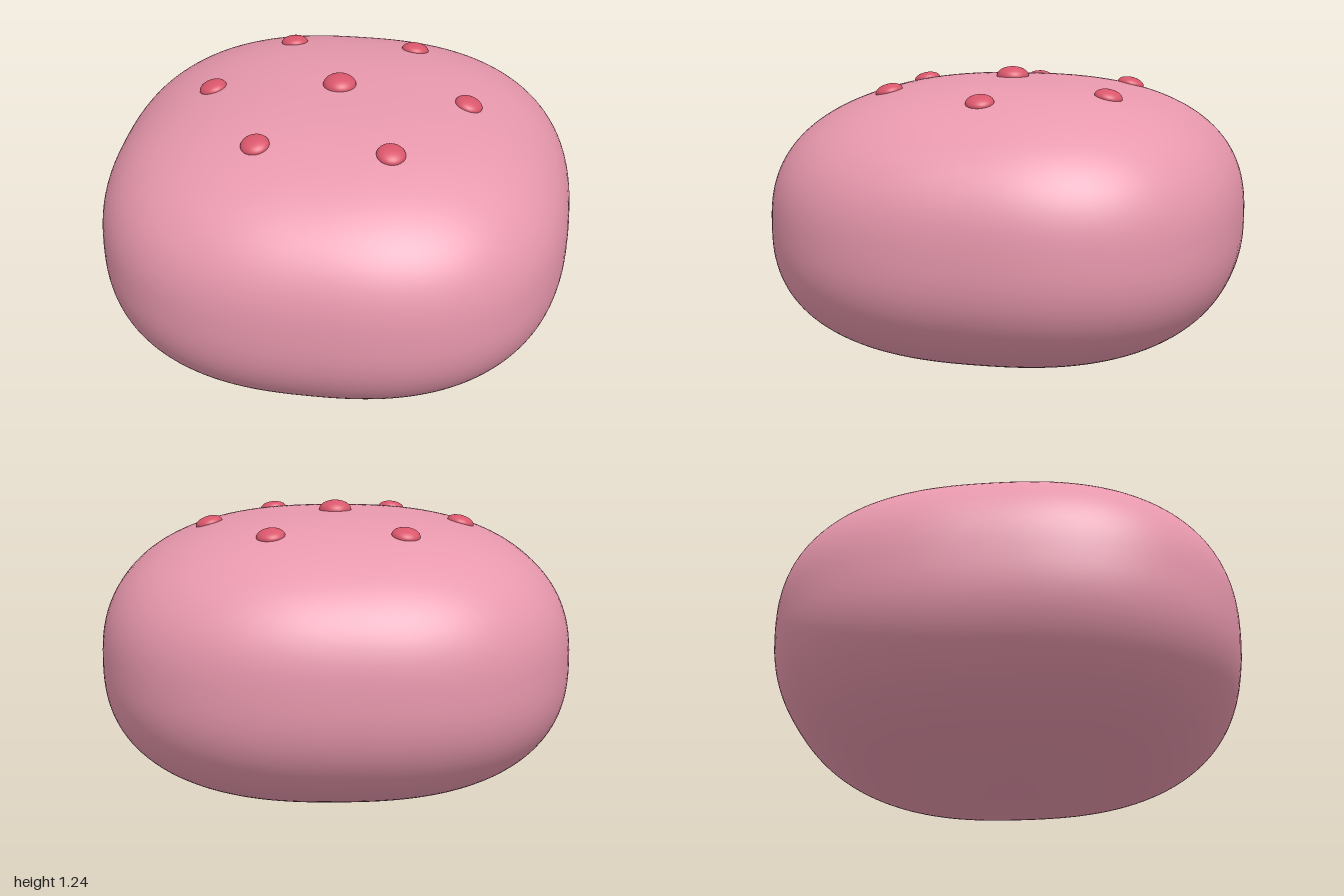
import * as THREE from 'three';

const N = 2.5;            // roundness exponent of the cushion shape
const HALF = 0.6;         // half height
const CENTRE_Y = 0.6;
const spow = (v, e) => Math.sign(v) * Math.abs(v) ** e;

// Outward normal of the cushion at a point measured from its centre
const bodyNormal = (x, y, z) => new THREE.Vector3(
  spow(x, N - 1), spow(y / HALF, N - 1) / HALF, spow(z, N - 1)).normalize();

// Sphere pushed out towards a soft cube, then flattened
function cushionGeometry() {
  const geo = new THREE.SphereGeometry(1, 128, 80);
  const pos = geo.attributes.position;
  const nor = geo.attributes.normal;
  for (let i = 0; i < pos.count; i++) {
    const x = spow(pos.getX(i), 2 / N);
    const y = spow(pos.getY(i), 2 / N) * HALF;
    const z = spow(pos.getZ(i), 2 / N);
    const n = bodyNormal(x, y, z);
    pos.setXYZ(i, x, y, z);
    nor.setXYZ(i, n.x, n.y, n.z);
  }
  return geo;
}

export function createModel() {
  const model = new THREE.Group();
  const bodyMat = new THREE.MeshStandardMaterial({ color: 0xe898ad });
  const dotMat = new THREE.MeshStandardMaterial({ color: 0xd9566b });

  const body = new THREE.Mesh(cushionGeometry(), bodyMat);
  body.name = 'body';
  body.position.y = CENTRE_Y;
  model.add(body);

  // Flattened beads lying on the top surface
  const dotGeo = new THREE.SphereGeometry(1, 32, 20);
  const up = new THREE.Vector3(0, 1, 0);
  function addDot(name, x, z, radius, height) {
    const y = HALF * (1 - Math.abs(x) ** N - Math.abs(z) ** N) ** (1 / N);
    const dot = new THREE.Mesh(dotGeo, dotMat);
    dot.name = name;
    dot.position.set(x, CENTRE_Y + y, z);
    dot.quaternion.setFromUnitVectors(up, bodyNormal(x, y, z));
    dot.scale.set(radius, height, radius);
    model.add(dot);
  }

  addDot('centreDot', 0, 0, 0.07, 0.042);
  for (let i = 0; i < 6; i++) {
    const a = i * Math.PI / 3;
    addDot(`ringDot${i + 1}`, 0.544 * Math.cos(a), 0.544 * Math.sin(a), 0.059, 0.03);
  }
  return model;
}
